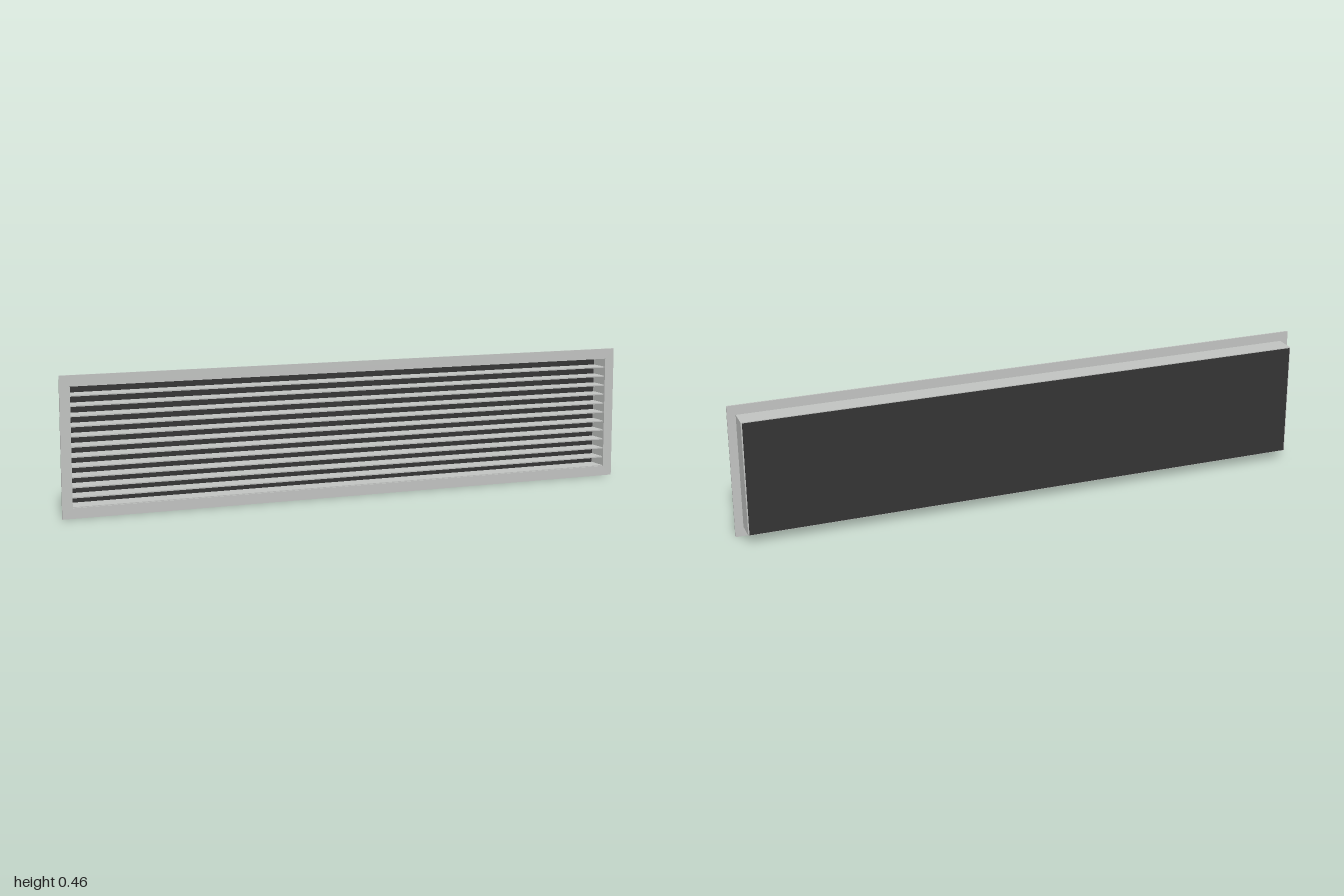
import * as THREE from 'three';

const MID_Y = 0.228;

// Rectangular ring with an open middle, extruded from z0 to z1
function frame(w, h, innerW, innerH, z0, z1) {
  const trace = (path, a, b) => path
    .moveTo(-a / 2, -b / 2).lineTo(a / 2, -b / 2).lineTo(a / 2, b / 2).lineTo(-a / 2, b / 2).closePath();
  const shape = new THREE.Shape();
  trace(shape, w, h);
  const hole = new THREE.Path();
  trace(hole, innerW, innerH);
  shape.holes.push(hole);
  return new THREE.ExtrudeGeometry(shape, { depth: z1 - z0, bevelEnabled: false })
    .translate(0, MID_Y, z0);
}

export function createModel() {
  const group = new THREE.Group();
  group.name = 'ventGrille';
  const metal = new THREE.MeshStandardMaterial({ color: 0xc0c2c0 });
  metal.name = 'grey metal';
  const dark = new THREE.MeshStandardMaterial({ color: 0x333333 });
  dark.name = 'dark backing';

  const add = (name, geometry, material) => {
    const mesh = new THREE.Mesh(geometry, material);
    mesh.name = name;
    group.add(mesh);
    return mesh;
  };

  // Front flange and the duct collar behind it
  add('flange', frame(2, 0.456, 1.932, 0.388, 0.035, 0.04), metal);
  add('collar', frame(1.944, 0.391, 1.932, 0.383, -0.037, 0.035), metal);

  // Dark sheet closing the back
  add('backPanel', new THREE.BoxGeometry(1.936, 0.386, 0.003).translate(0, MID_Y, -0.0385), dark);

  // Evenly spaced horizontal blades
  const count = 11, pitch = 0.388 / (count + 1);
  const blade = new THREE.BoxGeometry(1.934, 0.004, 0.07);
  for (let i = 0; i < count; i++) {
    add('blade' + (i + 1), blade, metal)
      .position.set(0, MID_Y + (i - (count - 1) / 2) * pitch, 0);
  }
  return group;
}
